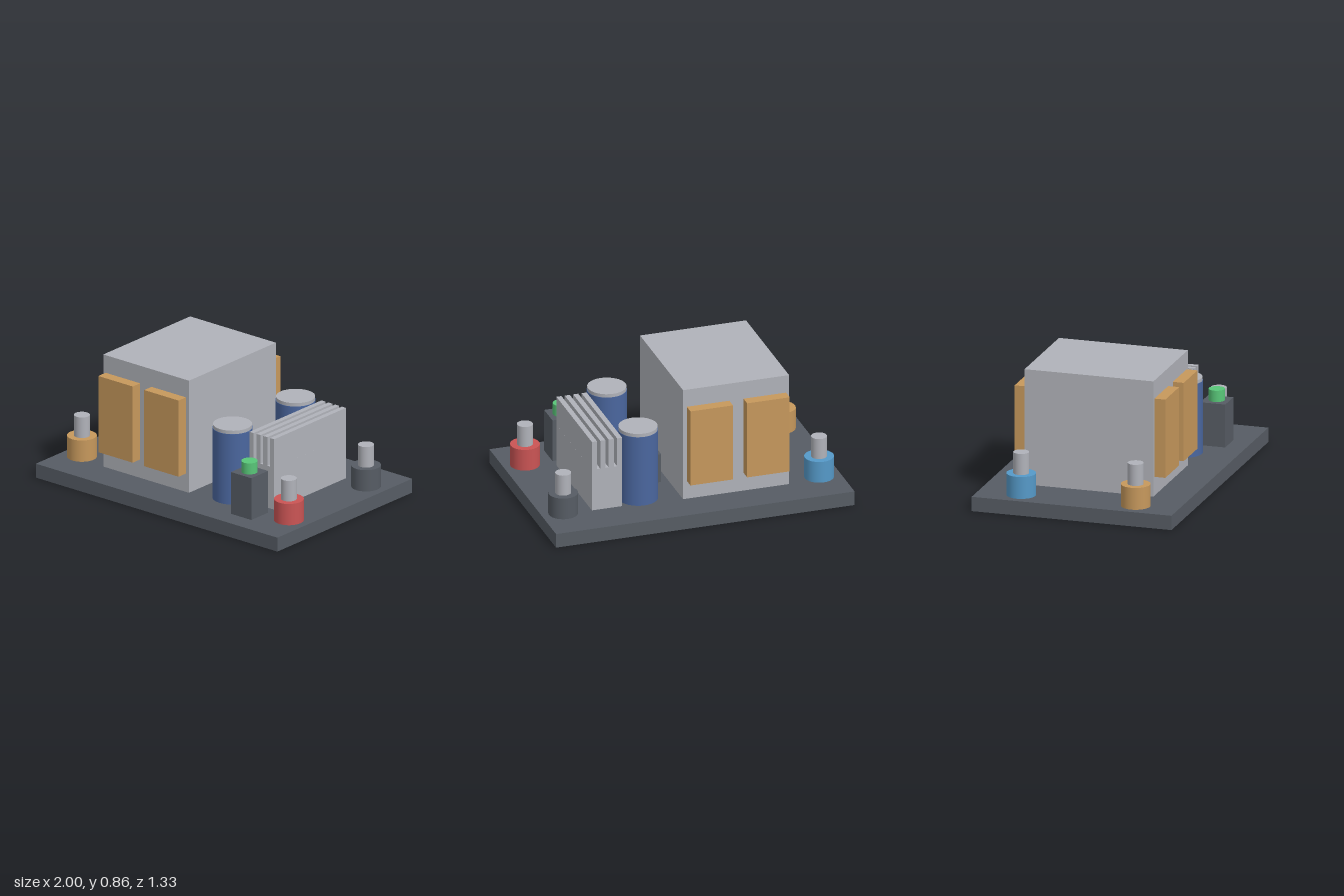
import * as THREE from 'three';

const mat = (name, color) => Object.assign(new THREE.MeshStandardMaterial({ color }), { name });

export function createModel() {
  const model = new THREE.Group();
  model.name = 'powerSupplyBoard';

  const dark = mat('darkGrey', 0x565c64);
  const metal = mat('metalGrey', 0xb0b2b9);
  const copper = mat('copper', 0xc6985c);
  const navy = mat('capacitorBlue', 0x4a669e);
  const red = mat('terminalRed', 0xca5454);
  const sky = mat('terminalBlue', 0x5599c8);
  const green = mat('indicatorGreen', 0x58c678);

  const add = (name, geometry, material, x, y, z) => {
    const mesh = new THREE.Mesh(geometry, material);
    mesh.name = name;
    mesh.position.set(x, y, z);
    model.add(mesh);
  };
  // Box given by its limits on each axis
  const box = (name, m, [x0, x1], [y0, y1], [z0, z1]) =>
    add(name, new THREE.BoxGeometry(x1 - x0, y1 - y0, z1 - z0), m,
      (x0 + x1) / 2, (y0 + y1) / 2, (z0 + z1) / 2);
  // Upright cylinder between two heights
  const cyl = (name, m, r, x, z, y0, y1) =>
    add(name, new THREE.CylinderGeometry(r, r, y1 - y0, 32), m, x, (y0 + y1) / 2, z);

  const deck = 0.095;
  box('baseBoard', dark, [-1, 1], [0, deck], [-0.667, 0.667]);

  // Transformer core with two windings on front and back
  box('transformerCore', metal, [-0.64, 0.07], [deck, 0.86], [-0.43, 0.43]);
  for (const x of [-0.62, -0.24])
    for (const [z0, z1] of [[0.43, 0.503], [-0.503, -0.43]])
      box('winding', copper, [x, x + 0.285], [0.22, 0.74], [z0, z1]);

  // Capacitors with metal tops
  for (const z of [-0.312, 0.312]) {
    cyl('capacitorBody', navy, 0.128, 0.332, z, deck, 0.575);
    cyl('capacitorTop', metal, 0.125, 0.332, z, 0.575, 0.598);
  }

  // Chip block between the capacitors
  box('chipBlock', dark, [0.12, 0.355], [deck, 0.29], [-0.142, 0.142]);

  // Finned heat sink
  const sinkZ = [-0.404, 0.307];
  box('heatSinkBody', metal, [0.469, 0.672], [deck, 0.38], sinkZ);
  for (let i = 0; i < 4; i++) {
    const x = 0.469 + i * 0.0563;
    box('heatSinkFin', metal, [x, x + 0.034], [0.38, 0.575], sinkZ);
  }

  // Indicator lamp on its housing
  box('indicatorHousing', dark, [0.508, 0.676], [deck, 0.38], [0.372, 0.538]);
  cyl('indicatorLamp', green, 0.052, 0.592, 0.455, 0.38, 0.455);

  // Terminal posts at the corners
  for (const [m, sx, sz] of [[copper, -1, 1], [sky, -1, -1], [red, 1, 1], [dark, 1, -1]]) {
    cyl('terminalCollar', m, 0.095, sx * 0.857, sz * 0.382, deck, 0.24);
    cyl('terminalStud', metal, 0.051, sx * 0.857, sz * 0.382, 0.24, 0.38);
  }

  return model;
}
